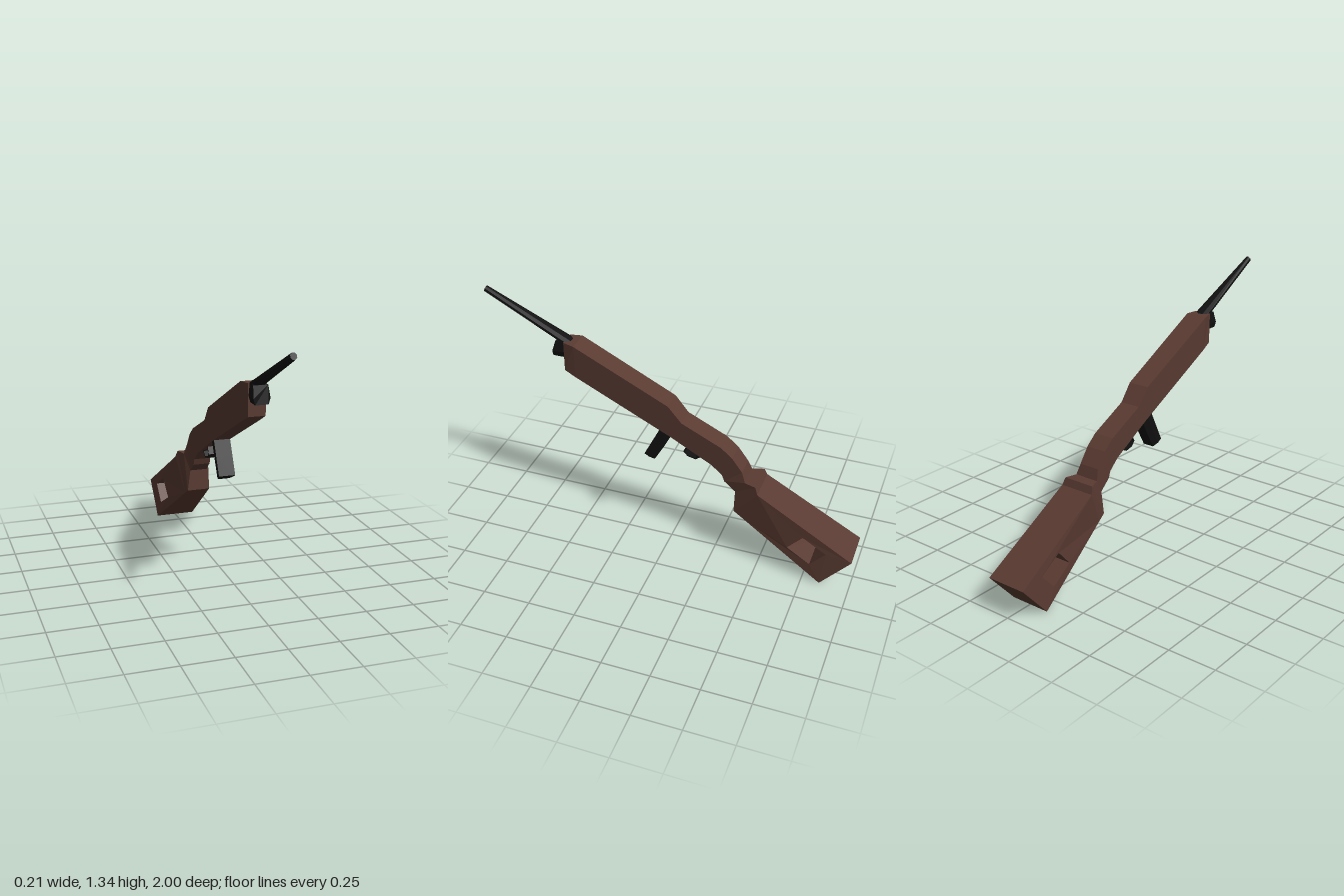
import * as THREE from 'three';

// Collects flat-shaded quads
function faceSet() {
  const p = [];
  return {
    tri: (a, b, c) => p.push(...a, ...b, ...c),
    quad(a, b, c, d) { this.tri(a, b, c); this.tri(a, c, d); },
    geometry() {
      const g = new THREE.BufferGeometry();
      g.setAttribute('position', new THREE.Float32BufferAttribute(p, 3));
      g.computeVertexNormals();
      return g;
    },
  };
}

// Skins a list of rings (counterclockwise seen from the first end)
function loft(rings, capEnd = true) {
  const f = faceSet(), n = rings[0].length, last = rings[rings.length - 1];
  for (let i = 0; i < rings.length - 1; i++) {
    for (let j = 0; j < n; j++) {
      const k = (j + 1) % n;
      f.quad(rings[i][j], rings[i + 1][j], rings[i + 1][k], rings[i][k]);
    }
  }
  for (let j = 1; j < n - 1; j++) {
    f.tri(rings[0][0], rings[0][j], rings[0][j + 1]);
    if (capEnd) f.tri(last[0], last[j + 1], last[j]);
  }
  return f.geometry();
}

export function createModel() {
  const group = new THREE.Group();
  const wood = new THREE.MeshStandardMaterial({ name: 'brownWood', color: 0x5a3b32, flatShading: true });
  const metal = new THREE.MeshStandardMaterial({ name: 'blackMetal', color: 0x111111, flatShading: true });
  const add = (name, geometry, material) => {
    const mesh = new THREE.Mesh(geometry, material);
    mesh.name = name;
    group.add(mesh);
    return mesh;
  };

  // Fore-end, wrist and neck: top z, y, half width, then bottom z, y, half width
  const sections = [
    [0.56, 1.12, 0.045, 0.56, 0.96, 0.043],
    [0.50, 1.117, 0.06, 0.50, 0.93, 0.046],
    [0.00, 0.87, 0.057, 0.00, 0.685, 0.045],
    [-0.07, 0.785, 0.055, -0.06, 0.653, 0.045],
    [-0.28, 0.685, 0.055, -0.23, 0.56, 0.045],
    [-0.34, 0.635, 0.055, -0.287, 0.51, 0.045],
    [-0.395, 0.56, 0.055, -0.30, 0.475, 0.045],
    [-0.415, 0.507, 0.066, -0.36, 0.425, 0.046],
    [-0.475, 0.507, 0.085, -0.36, 0.31, 0.061],
    [-0.49, 0.47, 0.094, -0.40, 0.285, 0.065],
  ];
  add('stock', loft(sections.map(([tz, ty, tw, bz, by, bw]) => [
    [tw, ty, tz], [-tw, ty, tz], [-bw, by, bz], [bw, by, bz],
  ]), false), wood);

  // Butt with a four-sided opening right through it
  const outer = [[0.094, 0.47, -0.49], [0.107, 0.178, -1.0], [0.107, 0, -0.845], [0.065, 0.285, -0.40]];
  const hole = [[0.098, 0.265, -0.74], [0.104, 0.195, -0.865], [0.102, 0.105, -0.785], [0.092, 0.175, -0.66]];
  const flip = ([x, y, z]) => [-x, y, z];
  const butt = faceSet();
  for (let i = 0; i < 4; i++) {
    const k = (i + 1) % 4;
    const [a, b, c, d] = [outer[i], outer[k], hole[k], hole[i]];
    butt.quad(d, c, b, a);
    butt.quad(flip(a), flip(b), flip(c), flip(d));
    if (i < 3) butt.quad(a, b, flip(b), flip(a));
    butt.quad(flip(d), flip(c), c, d);
  }
  add('butt', butt.geometry(), wood);

  // Barrel, widening toward the stock
  const barrelRing = (z, y, halfWidth) => Array.from({ length: 8 }, (_, i) => {
    const t = (i + 0.5) * Math.PI / 4, up = Math.sin(t) * 0.017;
    return [Math.cos(t) * halfWidth * 1.08, y + up * 0.9, z - up * 0.44];
  });
  add('barrel', loft([barrelRing(0.993, 1.327, 0.015), barrelRing(0.53, 1.1, 0.038)]), metal);

  // Block under the barrel
  const blockRing = (z, low) => [
    [0.036, 1.118, z], [-0.036, 1.118, z], [-0.041, 1.06, z],
    [-0.032, low, z], [0.032, low, z], [0.041, 1.06, z],
  ];
  const frontRing = blockRing(0.625, 1.03);
  frontRing[0][2] = frontRing[1][2] = 0.607;
  add('barrelBlock', loft([frontRing, blockRing(0.55, 1.03)]), metal);

  // Magazine, leaning forward: front z, y, then back z, y
  const magazineRing = ([fz, fy, bz, by]) => {
    const mz = (fz + bz) / 2, my = (fy + by) / 2;
    return [[-0.043, fy, fz], [0.043, fy, fz], [0.043, my, mz],
      [0.03, by, bz], [-0.03, by, bz], [-0.043, my, mz]];
  };
  add('magazine', loft([
    [0.04, 0.735, -0.02, 0.705],
    [0.092, 0.63, 0.035, 0.597],
    [0.135, 0.543, 0.083, 0.512],
  ].map(magazineRing)), metal);

  // Trigger guard: a bent strip, drawn as z, y
  const path = [[-0.10, 0.645], [-0.073, 0.598], [-0.095, 0.573], [-0.14, 0.563], [-0.172, 0.588], [-0.165, 0.61]];
  const cz = -0.125, cy = 0.605, inset = 0.85;
  const inner = path.map(([z, y]) => [cz + (z - cz) * inset, cy + (y - cy) * inset]).reverse();
  const shape = new THREE.Shape([...path, ...inner].map(([z, y]) => new THREE.Vector2(-z, y)));
  const guard = new THREE.ExtrudeGeometry(shape, { depth: 0.06, bevelEnabled: false });
  guard.translate(0, 0, -0.03).rotateY(Math.PI / 2);
  add('triggerGuard', guard, metal);

  return group;
}
